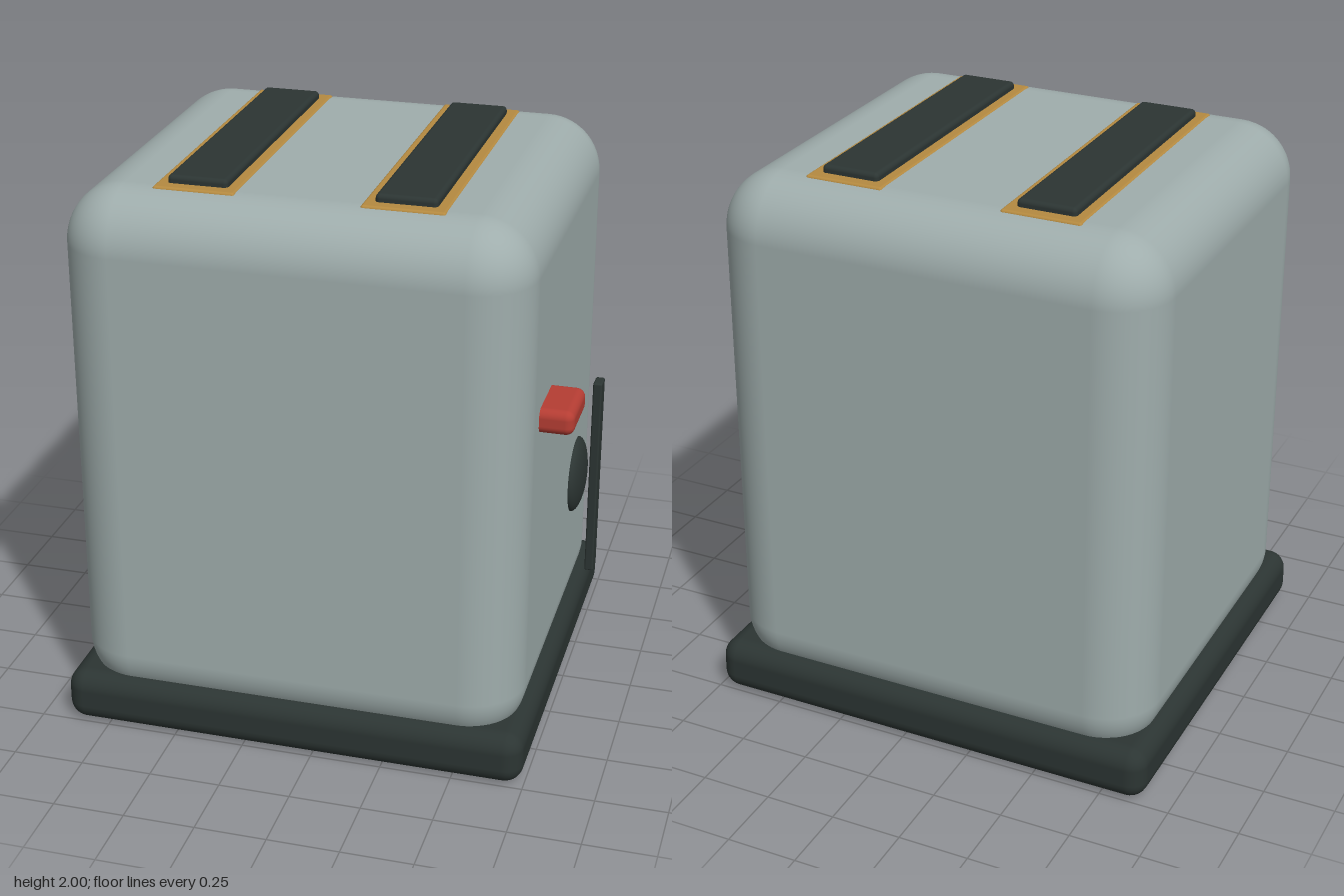
import * as THREE from 'three';
import { RoundedBoxGeometry } from 'three/addons/geometries/RoundedBoxGeometry.js';

const paint = (color) => new THREE.MeshStandardMaterial({ color });

export function createModel() {
  const model = new THREE.Group();
  model.name = 'toaster';

  const shell = paint(0x9fadac);
  const dark = paint(0x2c3533);
  const brass = paint(0xb58a40);
  const red = paint(0xb53d33);

  // Rounded box given by its minimum and maximum corners
  function block(name, min, max, radius, material, segments = 4) {
    const size = max.map((v, i) => v - min[i]);
    const mesh = new THREE.Mesh(new RoundedBoxGeometry(...size, segments, radius), material);
    mesh.position.set(...max.map((v, i) => (v + min[i]) / 2));
    mesh.name = name;
    model.add(mesh);
    return mesh;
  }

  // Plinth and housing
  block('base', [-0.905, 0, -0.76], [0.743, 0.19, 0.76], 0.065, dark);
  block('body', [-0.873, 0.08, -0.73], [0.71, 1.97, 0.73], 0.2, shell, 8);

  // Two bread slots, each with a brass surround
  for (const x of [-0.428, 0.27]) {
    block('slotFrame', [x - 0.14, 1.934, -0.568], [x + 0.14, 1.974, 0.568], 0.01, brass);
    block('slot', [x - 0.103, 1.94, -0.523], [x + 0.103, 2, 0.523], 0.015, dark);
  }

  // Lever and its slim guide rail on the left side
  block('lever', [0.63, 1.2, 0.232], [0.825, 1.287, 0.468], 0.03, red);
  block('leverRail', [0.868, 0.67, 0.32], [0.898, 1.365, 0.38], 0.006, dark, 2);

  // Domed browning knob
  const knob = new THREE.Mesh(new THREE.SphereGeometry(0.14, 40, 24), dark);
  knob.scale.x = 0.3;
  knob.position.set(0.71, 0.686, -0.3);
  knob.name = 'knob';
  model.add(knob);

  return model;
}
